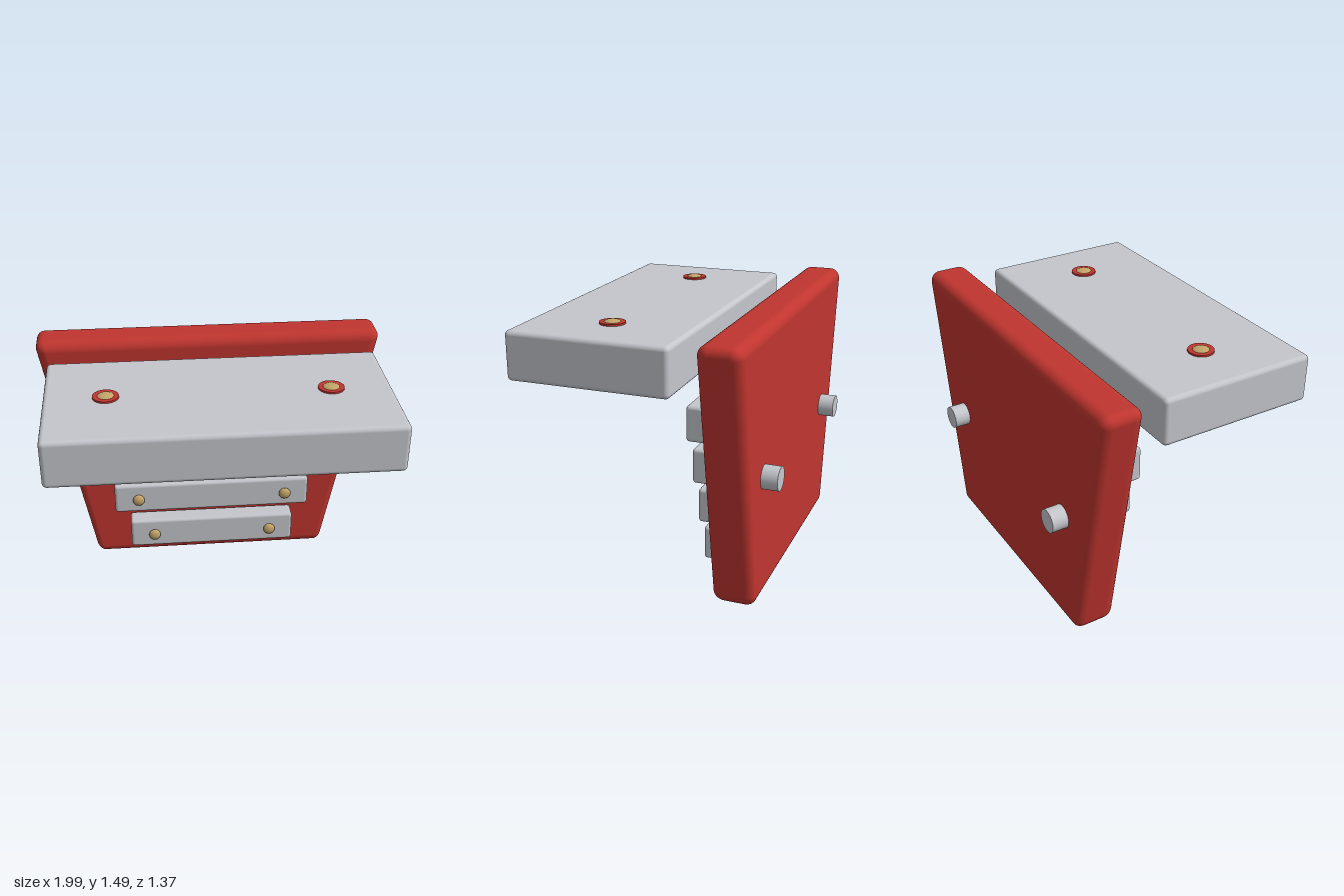
import * as THREE from 'three';
import { mergeVertices } from 'three/addons/utils/BufferGeometryUtils.js';
import { RoundedBoxGeometry } from 'three/addons/geometries/RoundedBoxGeometry.js';

const red = new THREE.MeshStandardMaterial({ name: 'red paint', color: 0xc0352f });
const silver = new THREE.MeshStandardMaterial({ name: 'silver metal', color: 0xc4c6cc });
const gold = new THREE.MeshStandardMaterial({ name: 'brass', color: 0xc2a468 });

// Rounded box whose width shrinks toward the bottom
function taperedBoard(width, height, depth, radius, bottomScale) {
  let geo = new RoundedBoxGeometry(width, height, depth, 6, radius);
  const pos = geo.attributes.position;
  for (let i = 0; i < pos.count; i++) {
    const t = pos.getY(i) / height + 0.5;
    pos.setX(i, pos.getX(i) * (bottomScale + (1 - bottomScale) * t));
  }
  geo.deleteAttribute('normal');
  geo.deleteAttribute('uv');
  geo.clearGroups();
  geo = mergeVertices(geo, 1e-4);
  geo.computeVertexNormals();
  return geo;
}

export function createModel() {
  const model = new THREE.Group();
  model.name = 'keyRack';

  const add = (name, geometry, material, x, y, z) => {
    const mesh = new THREE.Mesh(geometry, material);
    mesh.name = name;
    mesh.position.set(x, y, z);
    model.add(mesh);
    return mesh;
  };

  // Red back board
  add('backBoard', taperedBoard(2.01, 1.485, 0.235, 0.06, 0.715), red, 0, 0.7475, -0.4775);

  // Four bars, widening upward, each with two domed screws
  const screw = new THREE.SphereGeometry(0.036, 24, 16).scale(1, 1, 0.61);
  for (let i = 0; i < 4; i++) {
    const y = 0.23 + i * 0.262;
    const half = 0.505 + i * 0.09;
    add('bar' + (i + 1), new RoundedBoxGeometry(half * 2, 0.19, 0.115, 4, 0.018), silver, 0, y, -0.2925);
    for (const side of [-1, 1]) {
      add('barScrew', screw, gold, side * (half - 0.145), y, -0.22);
    }
  }

  // Large top block
  add('topBlock', new RoundedBoxGeometry(1.845, 0.265, 0.89, 4, 0.025), silver, 0, 1.3125, 0.24);

  // Washers and domes on the block, pegs behind the board
  const washer = new THREE.CylinderGeometry(0.07, 0.07, 0.02, 32);
  const dome = new THREE.SphereGeometry(0.046, 24, 16).scale(1, 0.35, 1);
  const peg = new THREE.CylinderGeometry(0.065, 0.065, 0.12, 32).rotateX(Math.PI / 2);
  for (const side of [-1, 1]) {
    add('washer', washer, red, side * 0.595, 1.445, 0.235);
    add('blockScrew', dome, gold, side * 0.595, 1.451, 0.235);
    add('backPeg', peg, silver, side * 0.595, 0.715, -0.625);
  }

  return model;
}
